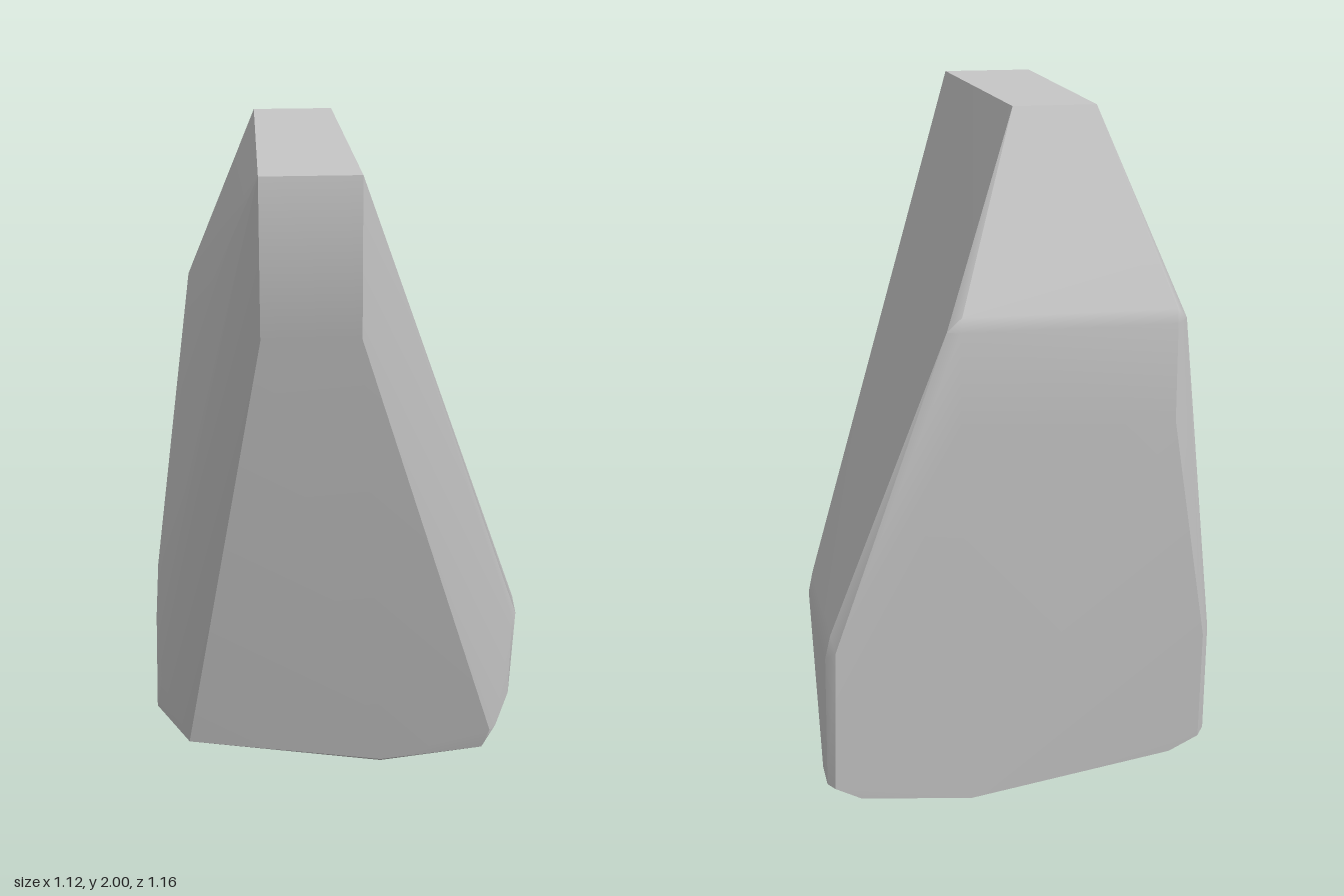
import * as THREE from 'three';
import { ConvexGeometry } from 'three/addons/geometries/ConvexGeometry.js';

const stoneGrey = new THREE.MeshStandardMaterial({ color: 0xc6c6c6 });
stoneGrey.name = 'stoneGrey';

// Corners of the boulder, grouped by region; close pairs form narrow bevels
const crown = [
  [-0.235, 2, 0.58], [0.03, 2, 0.58], [0.01, 2, -0.365], [-0.22, 2, -0.365],
  [-0.235, 1.57, 0.58], [0.03, 1.57, 0.58],
];
const backShoulder = [
  [-0.4, 1.48, -0.572], [0.185, 1.48, -0.572], [-0.4, 1.44, -0.58], [0.19, 1.44, -0.58],
  [-0.4, 1.17, -0.58], [0.19, 1.17, -0.58],
  [-0.43, 1.45, -0.555], [0.225, 1.44, -0.565],
];
const rightFlank = [
  [0.54, 0.57, 0.035], [0.53, 0.55, 0.055], [0.553, 0.51, 0.03], [0.54, 0.5, 0.05],
  [0.541, 0.57, -0.465], [0.556, 0.5, -0.46], [0.53, 0.53, -0.497],
  [0.54, 0.23, 0.02], [0.555, 0.09, -0.3], [0.555, 0.095, -0.42], [0.535, 0.09, -0.445],
];
const leftFlank = [
  [-0.43, 1.45, 0.17], [-0.55, 0.52, 0.0], [-0.555, 0.5, -0.44], [-0.525, 0.5, -0.495],
  [-0.54, 0.32, 0.03], [-0.56, 0.17, -0.08], [-0.56, 0.17, -0.41], [-0.535, 0.16, -0.445],
];
const base = [
  [-0.46, 0.115, 0.06], [-0.44, 0.105, 0.03], [0.14, 0.015, 0.035], [0.14, 0, 0.015],
  [0.48, 0.12, 0.06], [0.5, 0.13, 0.045], [0.46, 0.045, 0.03], [0.45, 0.035, 0.01],
  [-0.45, 0.115, -0.44], [0.14, 0.02, -0.44], [0.14, 0.01, -0.42], [0.46, 0.05, -0.44],
];

// Area-weighted normals, blended only across edges flatter than the given angle
function softenEdges(geometry, angle) {
  const position = geometry.attributes.position;
  const corner = (i) => new THREE.Vector3().fromBufferAttribute(position, i);
  const faces = [];
  for (let i = 0; i < position.count; i += 3) {
    const corners = [corner(i), corner(i + 1), corner(i + 2)];
    const [a, b, c] = corners;
    const normal = b.clone().sub(a).cross(c.clone().sub(a));
    faces.push({ corners, normal });
  }
  faces.forEach((face, f) => face.corners.forEach((point, k) => {
    const sum = new THREE.Vector3();
    for (const other of faces) {
      const touches = other.corners.some((q) => q.distanceToSquared(point) < 1e-10);
      if (touches && other.normal.angleTo(face.normal) < angle) sum.add(other.normal);
    }
    sum.normalize();
    geometry.attributes.normal.setXYZ(f * 3 + k, sum.x, sum.y, sum.z);
  }));
  return geometry;
}

export function createModel() {
  const group = new THREE.Group();
  group.name = 'boulder';
  const points = [...crown, ...backShoulder, ...rightFlank, ...leftFlank, ...base]
    .map((p) => new THREE.Vector3(...p));
  const rock = new THREE.Mesh(softenEdges(new ConvexGeometry(points), 0.48), stoneGrey);
  rock.name = 'rock';
  group.add(rock);
  return group;
}
